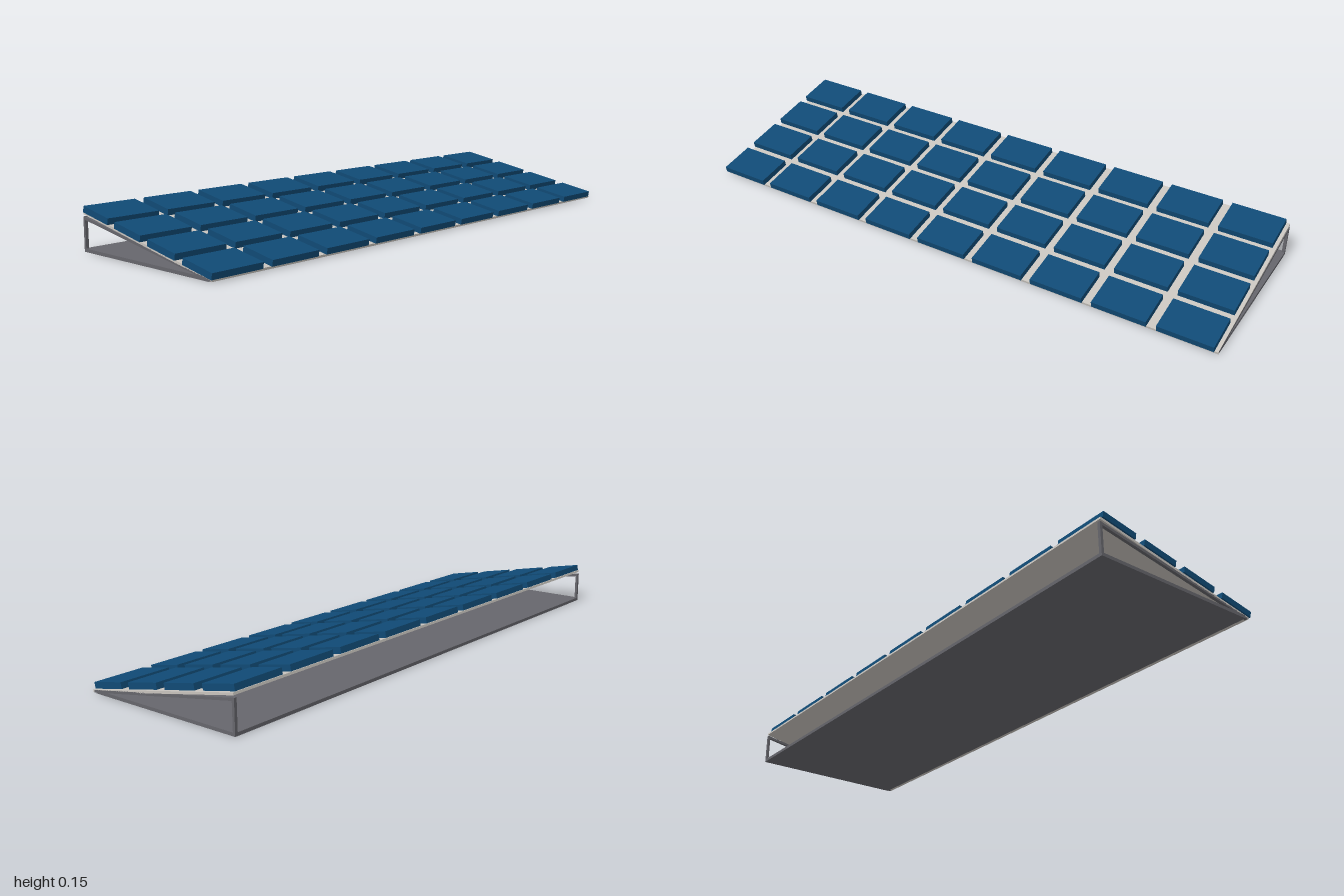
import * as THREE from 'three';

export function createModel() {
  const model = new THREE.Group();
  model.name = 'solarArray';

  const panelMat = new THREE.MeshStandardMaterial({ color: 0x104a75 });
  const sheetMat = new THREE.MeshStandardMaterial({ color: 0xc8c4be });
  const frameMat = new THREE.MeshStandardMaterial({ color: 0x66666c });

  const addBox = (parent, name, mat, size, pos) => {
    const mesh = new THREE.Mesh(new THREE.BoxGeometry(...size), mat);
    mesh.name = name;
    mesh.position.set(...pos);
    parent.add(mesh);
    return mesh;
  };

  const left = -0.995, right = 1, bar = 0.01;
  const width = right - left, midX = (left + right) / 2;

  // Flat base plate
  addBox(model, 'basePlate', frameMat, [width, 0.011, 0.597], [midX, 0.0055, -0.0085]);

  // Triangular end frames: rear post and sloping strut
  const rise = 0.102, run = 0.602;
  for (const x of [left + bar / 2, right - bar / 2]) {
    addBox(model, 'rearPost', frameMat, [bar, 0.112, 0.009], [x, 0.056, -0.3025]);
    const strut = addBox(model, 'slopingStrut', frameMat,
      [bar, 0.009, Math.hypot(rise, run)], [x, 0.056, -0.001]);
    strut.rotation.x = Math.atan2(rise, run);
  }

  // Tilted deck carrying the panels
  const deck = new THREE.Group();
  deck.name = 'tiltedDeck';
  deck.position.set(0, 0.064, 0);
  deck.rotation.x = Math.atan(0.194);
  model.add(deck);
  addBox(deck, 'backingSheet', sheetMat, [width, 0.008, 0.621], [midX, 0, 0]);

  // Grid of panels, four rows of nine
  const panelW = 0.19, panelD = 0.129, pitchX = 0.2247, pitchZ = 0.164;
  for (let row = 0; row < 4; row++) {
    for (let col = 0; col < 9; col++) {
      addBox(deck, 'panel', panelMat, [panelW, 0.021, panelD],
        [-1 + panelW / 2 + col * pitchX, 0.0145, (1.5 - row) * pitchZ + 0.0045]);
    }
  }
  return model;
}
